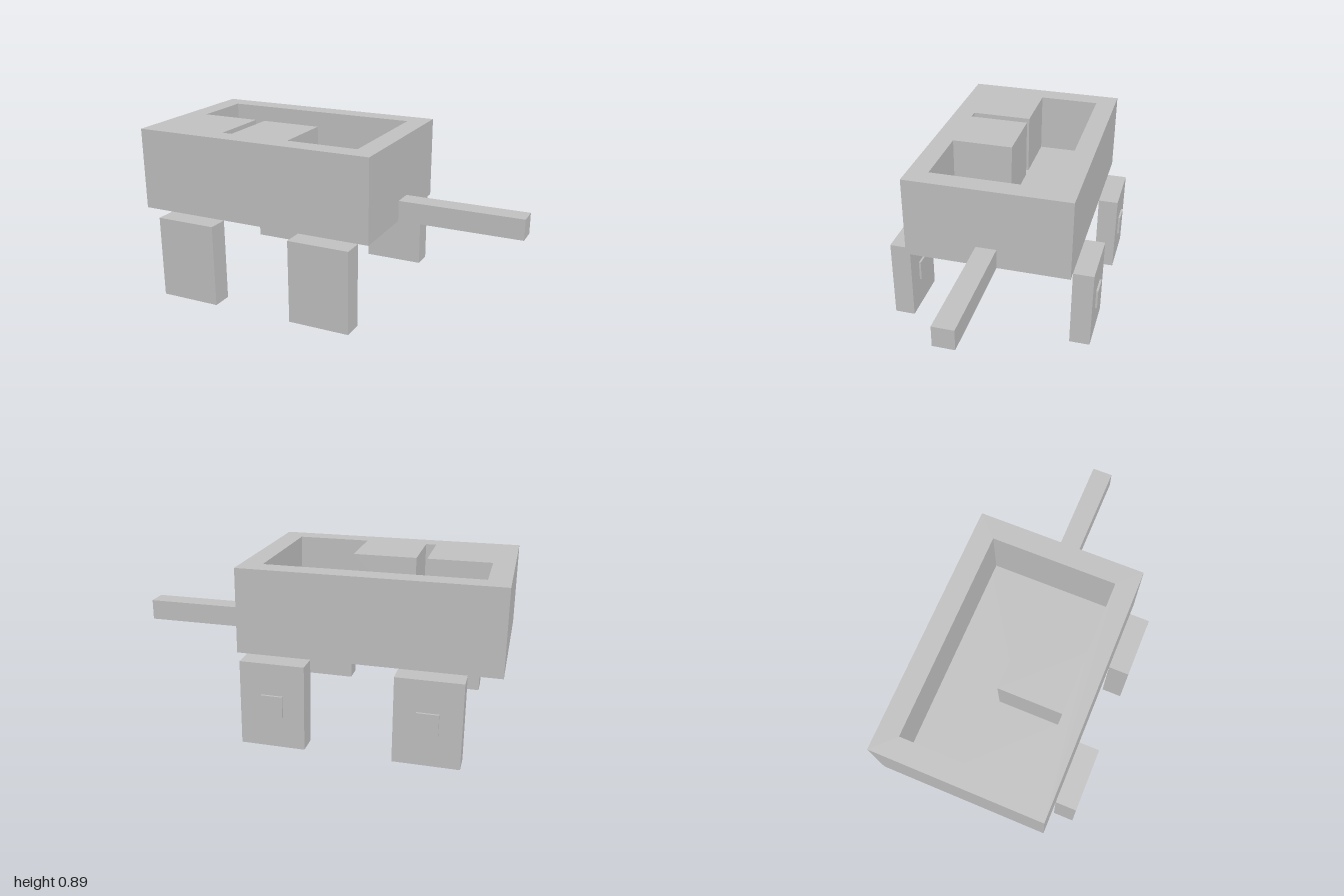
import * as THREE from 'three';

const U = 1 / 9; // modelling unit
const ZC = 0.005; // body centre in z

export function createModel() {
  const group = new THREE.Group();
  const grey = new THREE.MeshStandardMaterial({ color: 0xc0c0c0 });
  grey.name = 'plain grey';

  const add = (name, geometry, parent = group) => {
    const mesh = new THREE.Mesh(geometry, grey);
    mesh.name = name;
    parent.add(mesh);
    return mesh;
  };
  const box = (name, w, h, d, x, y, z, parent) =>
    add(name, new THREE.BoxGeometry(w, h, d), parent).position.set(x, y, z);

  // Tray walls: outline with a stepped cavity (shape y becomes -z)
  const points = (list) => list.map(([x, y]) => new THREE.Vector2(x * U, y * U));
  const outline = new THREE.Shape(points([[-9, -4], [3, -4], [3, 4], [-9, 4]]));
  outline.holes.push(new THREE.Path(points([
    [-8, 3], [2, 3], [2, -3], [-1.5, -3], [-1.5, 0], [-4.5, 0],
    [-4.5, -3], [-5, -3], [-5, 0], [-8, 0],
  ])));
  const walls = new THREE.ExtrudeGeometry(outline, { depth: 3 * U, bevelEnabled: false });
  walls.rotateX(-Math.PI / 2);
  add('trayWalls', walls).position.set(0, 5 * U, ZC);

  // Tray floor
  box('trayFloor', 12 * U, U, 8 * U, -3 * U, 4.5 * U, ZC);

  // Handle bar on the side
  box('handle', 6 * U, U, U, 6 * U, 4.5 * U, ZC);

  // Four slab legs, each with a small square stud on its rear face
  for (const x of [-6 * U, U]) {
    for (const side of [1, -1]) {
      const leg = new THREE.Group();
      leg.name = (side > 0 ? 'front' : 'back') + (x > 0 ? 'Left' : 'Right') + 'Leg';
      leg.position.set(x, 2 * U, ZC + side * 4.5 * U);
      box('legSlab', 3 * U, 4 * U, U, 0, 0, 0, leg);
      box('legStud', U, U, 0.1 * U, 0, 0, -0.55 * U, leg);
      group.add(leg);
    }
  }
  return group;
}
